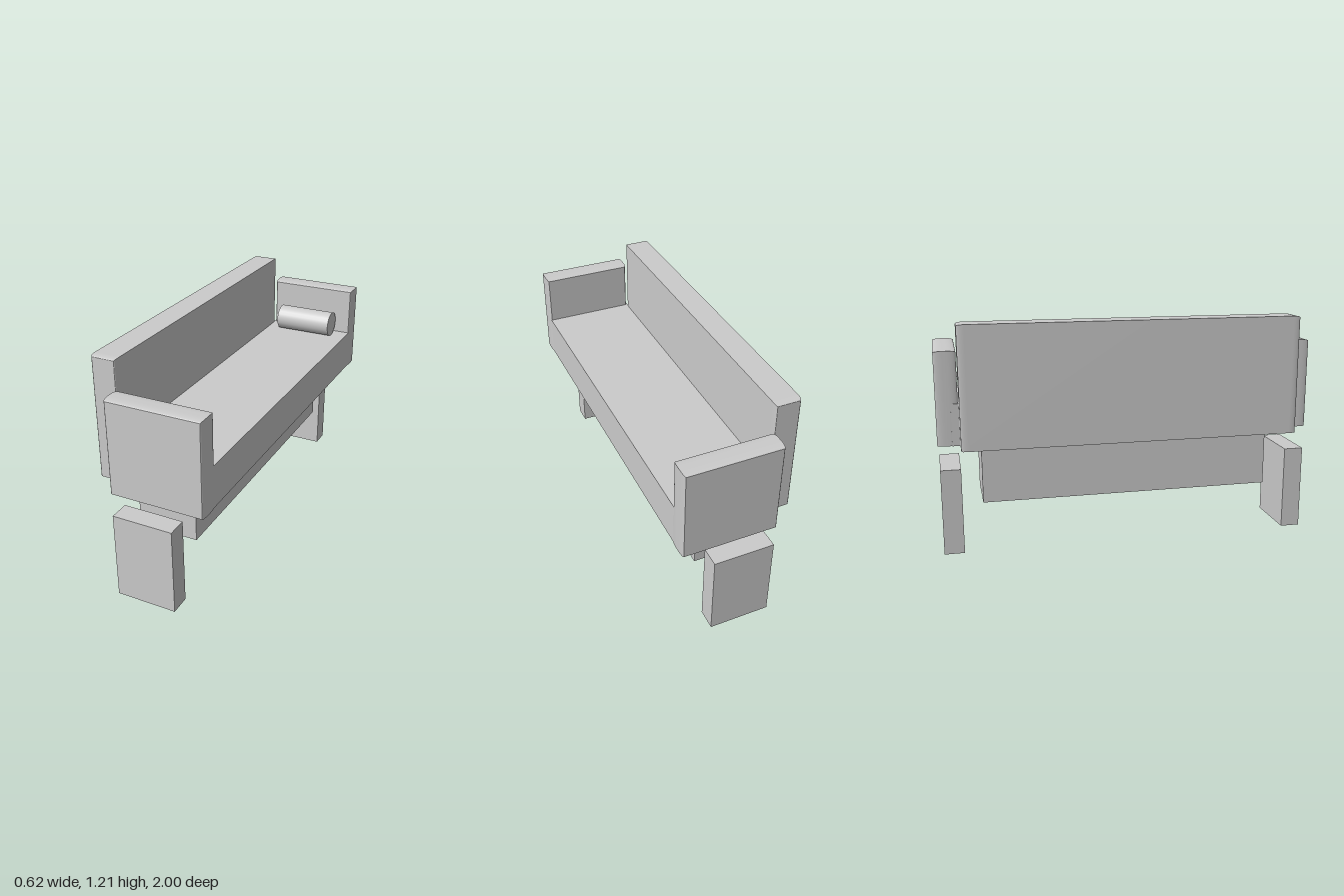
import * as THREE from 'three';

const material = new THREE.MeshStandardMaterial({ color: 0xcccccc });

function addMesh(group, name, geometry, x, y, z) {
  const mesh = new THREE.Mesh(geometry, material);
  mesh.name = name;
  mesh.position.set(x, y, z);
  group.add(mesh);
  return mesh;
}

// Plain block given by its min and max on each axis
function addBlock(group, name, [x0, x1], [y0, y1], [z0, z1]) {
  const geometry = new THREE.BoxGeometry(x1 - x0, y1 - y0, z1 - z0);
  return addMesh(group, name, geometry, (x0 + x1) / 2, (y0 + y1) / 2, (z0 + z1) / 2);
}

// Block whose front, back and top curve in slightly toward its z ends; the bottom stays flat
function addPaddedBlock(group, name, [x0, x1], [y0, y1], [z0, z1], bevelDepth, inset = 0.008) {
  const steps = 6;
  const depth = z1 - z0;
  const geometry = new THREE.BoxGeometry(x1 - x0, y1 - y0, depth, 1, 1, steps * 2 + 1);
  const pos = geometry.attributes.position;
  for (let i = 0; i < pos.count; i++) {
    const x = pos.getX(i), y = pos.getY(i), z = pos.getZ(i);
    // station 0 at the end face, counting inward to the full section
    const station = Math.round((0.5 - Math.abs(z) / depth) * (steps * 2 + 1));
    const angle = (station / steps) * Math.PI / 2;
    const shrink = inset * (1 - Math.sin(angle));
    pos.setX(i, x - Math.sign(x) * shrink);
    if (y > 0) pos.setY(i, y - shrink);
    pos.setZ(i, Math.sign(z) * (depth / 2 - bevelDepth * (1 - Math.cos(angle))));
  }
  geometry.computeVertexNormals();
  return addMesh(group, name, geometry, (x0 + x1) / 2, (y0 + y1) / 2, (z0 + z1) / 2);
}

export function createModel() {
  const sofa = new THREE.Group();
  sofa.name = 'sofa';

  // Upholstery
  addPaddedBlock(sofa, 'backrest', [-0.313, -0.181], [0.583, 1.212], [-0.885, 0.885], 0.04);
  addBlock(sofa, 'seat', [-0.185, 0.308], [0.583, 0.802], [-0.925, 0.925]);
  addPaddedBlock(sofa, 'leftArm', [-0.181, 0.312], [0.583, 1.068], [-1, -0.888], 0.045);
  addPaddedBlock(sofa, 'rightArm', [-0.181, 0.312], [0.583, 1.068], [0.888, 1], 0.045);

  // Bolster cushion lying against one arm
  const bolster = new THREE.CylinderGeometry(0.071, 0.071, 0.325, 24);
  bolster.rotateZ(Math.PI / 2);
  addMesh(sofa, 'bolsterCushion', bolster, 0.06, 0.873, -0.808);

  // Base and slab legs
  addBlock(sofa, 'base', [-0.18, 0.138], [0.27, 0.59], [-0.782, 0.765]);
  addBlock(sofa, 'leftLeg', [-0.18, 0.138], [0, 0.456], [-0.993, -0.888]);
  addBlock(sofa, 'rightLeg', [-0.18, 0.138], [0, 0.456], [0.89, 0.995]);

  return sofa;
}
